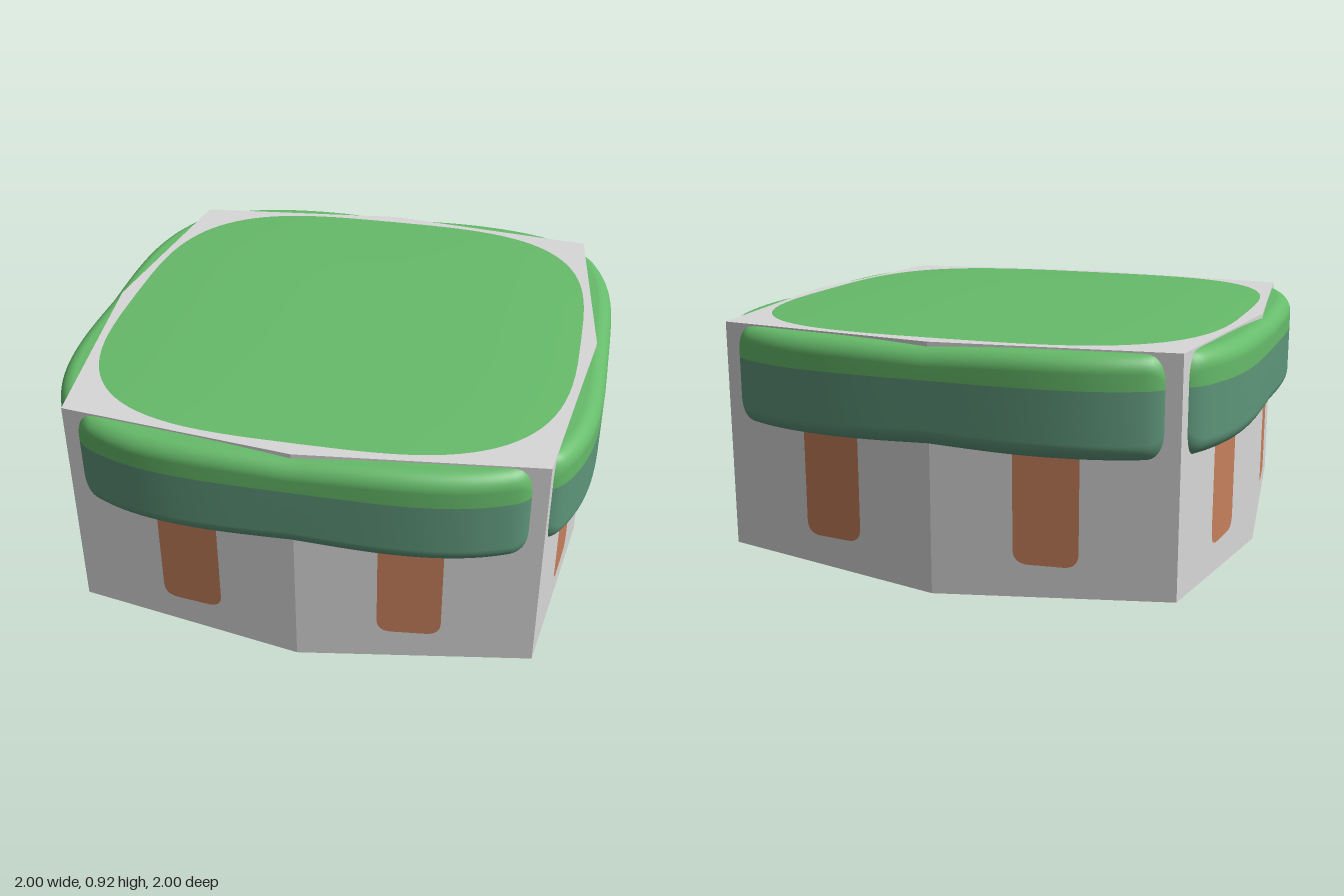
import * as THREE from 'three';

// Surface over a (u, v) grid in 0..1
function grid(nu, nv, fn) {
  const pos = [], idx = [];
  for (let i = 0; i <= nu; i++)
    for (let j = 0; j <= nv; j++) pos.push(...fn(i / nu, j / nv));
  for (let i = 0; i < nu; i++)
    for (let j = 0; j < nv; j++) {
      const a = i * (nv + 1) + j, d = a + nv + 1;
      idx.push(a, a + 1, d + 1, a, d + 1, d);
    }
  const g = new THREE.BufferGeometry();
  g.setAttribute('position', new THREE.Float32BufferAttribute(pos, 3));
  g.setIndex(idx);
  g.computeVertexNormals();
  return g;
}

function mat(name, color) {
  const m = new THREE.MeshStandardMaterial({ color });
  m.name = name;
  return m;
}

function part(parent, name, geometry, material) {
  const m = new THREE.Mesh(geometry, material);
  m.name = name;
  parent.add(m);
  return m;
}

// Faceted block: side midpoints bulge outward, bottom corners lift
function bodyGeometry() {
  const g = new THREE.BoxGeometry(1.7, 1, 1.7, 2, 1, 2);
  const p = g.attributes.position;
  for (let i = 0; i < p.count; i++) {
    const x = p.getX(i), z = p.getZ(i);
    const midX = Math.abs(x) < 0.01, midZ = Math.abs(z) < 0.01;
    if (midX !== midZ) p.setXYZ(i, x * 0.95 / 0.85, p.getY(i), z * 0.95 / 0.85);
    p.setY(i, p.getY(i) > 0 ? 0.902 : midX || midZ ? 0.006 : 0.055);
  }
  const flat = g.toNonIndexed();
  flat.computeVertexNormals();
  return flat;
}

// Bulging side cushion; upper and lower colour bands share one profile
const SPLIT = 0.78, MIDY = 0.718, RAD = 0.06;
function cushionGeometry(upper) {
  const n = 10;
  return grid(56, n + 2, (u, v) => {
    const x = 0.8 * Math.sin((u - 0.5) * Math.PI);
    const ax = Math.abs(x);
    const t = Math.min(1, Math.max(0, (ax - 0.74) / 0.06));
    const end = 1 - Math.sqrt(1 - t * t);
    const h = 0.168 + 0.01 * Math.sin(Math.min(1, ax / 0.4) * Math.PI / 2) - 0.06 * end;
    const out = 1 - 0.13 * Math.pow(ax / 0.8, 4) - 0.03 * end;
    const k = Math.round((upper ? v : 1 - v) * (n + 2));
    const s = upper ? 1 : -1;
    if (k === 0) return [x, MIDY + s * h, 0.78];
    if (k === n + 2) return [x, SPLIT, out];
    const a = (k - 1) / n * Math.PI / 2;
    return [x, MIDY + s * (h - RAD + RAD * Math.cos(a)), out - RAD + RAD * Math.sin(a)];
  });
}

// Stripe with rounded lower corners
function stripeGeometry() {
  const w = 0.115, r = 0.055, s = new THREE.Shape();
  s.moveTo(w, 0.62);
  s.lineTo(-w, 0.62);
  s.lineTo(-w, 0.145 + r);
  s.quadraticCurveTo(-w, 0.145, -w + r, 0.145);
  s.lineTo(w - r, 0.145);
  s.quadraticCurveTo(w, 0.145, w, 0.145 + r);
  return new THREE.ShapeGeometry(s, 8);
}

export function createModel() {
  const model = new THREE.Group();
  model.name = 'cushionedBlock';
  const grey = mat('lightGrey', 0xd8d8d8);
  const green = mat('leafGreen', 0x66bb6a);
  const teal = mat('deepGreen', 0x5e967a);
  const brown = mat('clayBrown', 0xc6805c);

  const body = part(model, 'body', bodyGeometry(), grey);

  // Slightly domed top pad with a rounded-square outline
  const sp = (c) => Math.sign(c) * Math.pow(Math.abs(c), 2 / 3.3);
  part(model, 'topPad', grid(12, 96, (r, v) => {
    const a = v * Math.PI * 2;
    return [0.89 * r * sp(Math.cos(a)), 0.904 + 0.016 * (1 - r ** 4), 0.89 * r * sp(Math.sin(a))];
  }), green);

  // Four matching sides
  const upperGeo = cushionGeometry(true), lowerGeo = cushionGeometry(false);
  const stripeGeo = stripeGeometry();
  for (let k = 0; k < 4; k++) {
    const side = new THREE.Group();
    side.name = ['frontSide', 'leftSide', 'backSide', 'rightSide'][k];
    side.rotation.y = k * Math.PI / 2;
    part(side, 'cushionUpper', upperGeo, green);
    part(side, 'cushionLower', lowerGeo, teal);
    for (const s of [-1, 1]) {
      const stripe = part(side, 'stripe', stripeGeo, brown);
      stripe.position.set(s * 0.405, 0, 0.9065);
      stripe.rotation.y = s * Math.atan(0.1 / 0.85);
    }
    model.add(side);
  }

  // Oval patches laid along the diagonals of the underside
  const ray = new THREE.Raycaster();
  const up = new THREE.Vector3(0, 1, 0);
  const ovals = [[1, 1, 0.49, 0.49], [-1, -1, 0.49, 0.49], [1, -1, 0.47, 0.5], [-1, 1, 0.2, 0.36]];
  for (const [sx, sz, centre, half] of ovals) {
    part(model, 'undersidePatch', grid(10, 48, (r, v) => {
      const a = -v * Math.PI * 2;
      const l = centre + half * r * Math.cos(a), w = 0.33 * r * Math.sin(a);
      const x = (sx * l - sz * w) * Math.SQRT1_2, z = (sz * l + sx * w) * Math.SQRT1_2;
      ray.set(new THREE.Vector3(x, -1, z), up);
      const hit = ray.intersectObject(body)[0];
      return [x, (hit ? hit.point.y : 0.006) - 0.005, z];
    }), brown);
  }
  return model;
}
